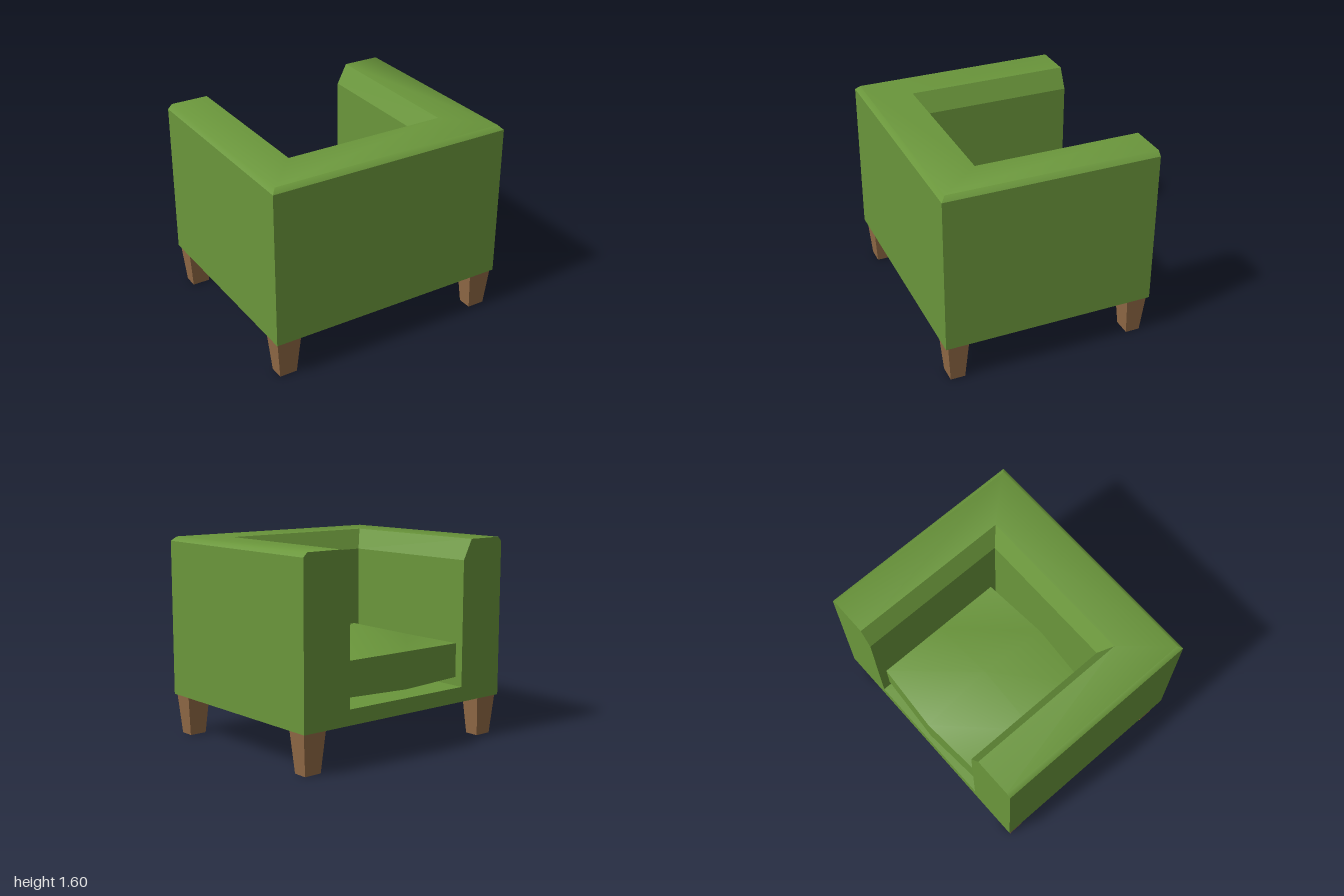
import * as THREE from 'three';
import { toCreasedNormals } from 'three/addons/utils/BufferGeometryUtils.js';

const FRONT = -0.845; // z of the open side of the chair
const FLOOR = 0.32;   // underside height

export function createModel() {
  const green = new THREE.MeshStandardMaterial({ color: 0x6a963b });
  green.name = 'green upholstery';
  const brown = new THREE.MeshStandardMaterial({ color: 0x916a46 });
  brown.name = 'brown wood';

  const chair = new THREE.Group();
  chair.name = 'armchair';
  const add = (name, geometry, material, parent = chair) => {
    const mesh = new THREE.Mesh(geometry, material);
    mesh.name = name;
    parent.add(mesh);
    return mesh;
  };

  // Wall section, outside to inside: [x on the arms, z on the backrest, y]
  const section = [
    [0.995, 0.845, FLOOR], [0.995, 0.845, 1.56], [0.96, 0.81, 1.595],
    [0.657, 0.468, 1.595], [0.575, 0.385, 1.435], [0.575, 0.385, FLOOR],
  ];

  // Sweep part of the section around the mitred U of arm, back, arm
  const sweep = (points) => {
    const stations = [
      ([x, , y]) => [x, y, FRONT], ([x, z, y]) => [x, y, z],
      ([x, z, y]) => [-x, y, z], ([x, , y]) => [-x, y, FRONT],
    ];
    const n = points.length, pos = [], index = [];
    for (const at of stations) for (const p of points) pos.push(...at(p));
    for (let s = 0; s < 3; s++) {
      for (let i = 0; i < n - 1; i++) {
        const a = s * n + i, b = a + 1, c = a + n, d = c + 1;
        index.push(a, b, c, b, d, c);
      }
    }
    const g = new THREE.BufferGeometry();
    g.setAttribute('position', new THREE.Float32BufferAttribute(pos, 3));
    g.setIndex(index);
    return toCreasedNormals(g, 0.95);
  };

  // Arms and backrest, split where the edges are sharp
  add('outerWalls', sweep(section.slice(0, 2)), green);
  add('roundedTop', sweep(section.slice(1, 4)), green);
  add('innerSlope', sweep(section.slice(3, 5)), green);
  add('innerWalls', sweep(section.slice(4, 6)), green);

  // Flat ends of the two arms
  for (const side of [-1, 1]) {
    const end = new THREE.Shape(section.map(([x, , y]) => new THREE.Vector2(-side * x, y)));
    const g = new THREE.ShapeGeometry(end).rotateY(Math.PI).translate(0, 0, FRONT);
    add(side > 0 ? 'leftArmEnd' : 'rightArmEnd', g, green);
  }

  // Seat platform between the arms
  add('seatPlatform', new THREE.BoxGeometry(1.15, 0.12, 1.23), green)
    .position.set(0, FLOOR + 0.06, FRONT + 0.615);

  // Domed cushion with bowed front and back edges
  const cushionShape = new THREE.BoxGeometry(2, 2, 2, 2, 1, 2);
  const p = cushionShape.attributes.position;
  for (let i = 0; i < p.count; i++) {
    const u = p.getX(i), v = p.getY(i), w = p.getZ(i);
    const bow = 1 - Math.abs(u), dome = bow * (1 - Math.abs(w));
    p.setXYZ(i, u * 0.572, 0.645 + v * (0.135 + 0.01 * bow + 0.14 * dome),
      -0.225 + w * (0.555 + 0.04 * bow));
  }
  cushionShape.computeVertexNormals();
  add('seatCushion', cushionShape, green);

  // Wooden underside
  add('underside', new THREE.PlaneGeometry(1.99, 1.69).rotateX(Math.PI / 2), brown)
    .position.y = FLOOR - 0.002;

  // Four tapered legs
  const legShape = new THREE.BoxGeometry(0.2, FLOOR, 0.165);
  const q = legShape.attributes.position;
  for (let i = 0; i < q.count; i++) {
    if (q.getY(i) < 0) q.setXYZ(i, q.getX(i) * 0.71, q.getY(i), q.getZ(i) * 0.7);
  }
  legShape.computeVertexNormals();
  for (const x of [-1, 1]) {
    for (const z of [-1, 1]) {
      add((z < 0 ? 'open' : 'back') + (x > 0 ? 'Left' : 'Right') + 'Leg', legShape, brown)
        .position.set(x * 0.882, FLOOR / 2, z * 0.742);
    }
  }

  // Very slight turn of the whole chair
  chair.rotation.y = -0.005;
  const model = new THREE.Group();
  model.add(chair);
  return model;
}
